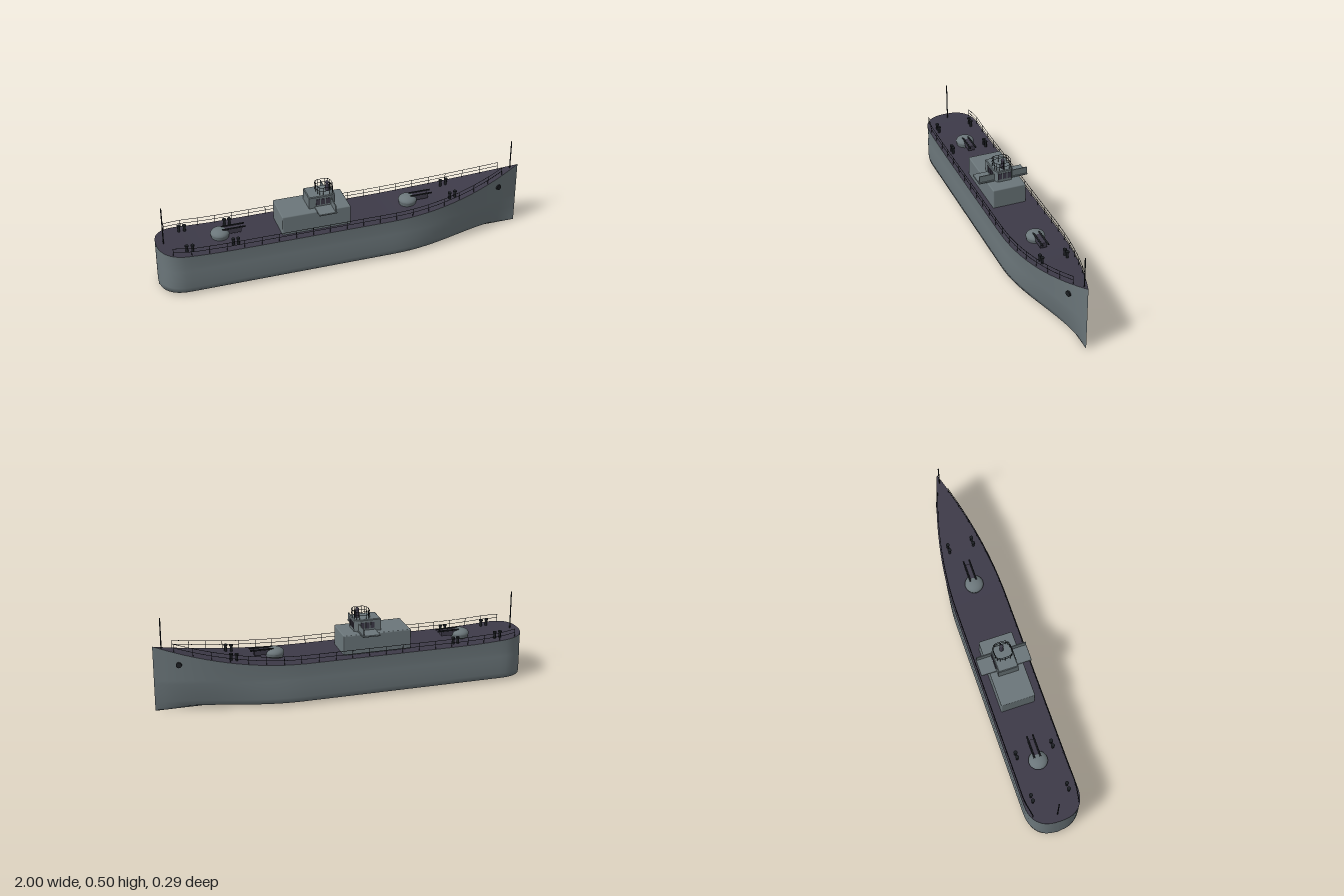
import * as THREE from 'three';
import { mergeGeometries } from 'three/addons/utils/BufferGeometryUtils.js';
import { RoundedBoxGeometry } from 'three/addons/geometries/RoundedBoxGeometry.js';

const V = (x, y, z) => new THREE.Vector3(x, y, z);
const mat = (name, color, side = THREE.FrontSide) => new THREE.MeshStandardMaterial({ name, color, side });
const HALF = 0.146;

// Height of the deck edge along the ship
function deckY(x) {
  if (x < -0.6) return 0.228 + 0.02 * ((-0.6 - x) / 0.4) ** 2;
  return x > 0.2 ? 0.228 + 0.126 * ((x - 0.2) / 0.8) ** 2 : 0.228;
}

// Half width: rounded stern, pointed bow that gets finer towards the keel (low = 0..1)
function halfWidth(x, low = 0) {
  if (x < -0.85) {
    const u = Math.min(1, (-0.85 - x) / 0.15);
    return HALF * Math.pow(Math.max(0, 1 - u ** 2.5), 0.4);
  }
  const u = Math.max(0, (x - 0.25) / 0.75);
  const top = 1 - u * u, bottom = 0.5 + 0.5 * Math.cos(Math.PI * u);
  return HALF * (top + (bottom - top) * low);
}

// Stations are packed tightly around the stern curve
const stations = [];
for (let i = 0; i <= 14; i++) stations.push(-0.85 - 0.15 * Math.cos((i / 14) * Math.PI / 2) ** 0.7);
for (let i = 1; i <= 36; i++) stations.push(-0.85 + 1.85 * i / 36);

// Skin a surface over rings of [y, z] points
function loft(ring) {
  const pos = [], index = [];
  const n = ring(0).length;
  stations.forEach((x, i) => {
    for (const [y, z] of ring(x)) pos.push(x, y, z);
    if (!i) return;
    for (let j = 0; j < n - 1; j++) {
      const a = (i - 1) * n + j, b = i * n + j;
      index.push(a, a + 1, b + 1, a, b + 1, b);
    }
  });
  const g = new THREE.BufferGeometry();
  g.setAttribute('position', new THREE.Float32BufferAttribute(pos, 3));
  g.setIndex(index);
  g.computeVertexNormals();
  return g;
}

function hullRing(x) {
  const d = deckY(x);
  // [height, width scale, fineness]
  const side = [[d, 1, 0], [0.165, 0.975, 0.25], [0.145, 1, 0.3], [0.09, 1, 0.55],
    [0.045, 0.995, 0.8], [0.017, 0.96, 0.95], [0.009, 0.5, 1]]
    .map(([y, s, f]) => [y, s * halfWidth(x, f)]);
  return [...side, [0, 0], ...side.map(([y, z]) => [y, -z]).reverse()];
}

// Thin round bar between two points
function bar(a, b, r, sides = 6) {
  const d = b.clone().sub(a);
  const g = new THREE.CylinderGeometry(r, r, d.length(), sides);
  g.applyQuaternion(new THREE.Quaternion().setFromUnitVectors(V(0, 1, 0), d.normalize()));
  return g.translate(...a.clone().add(b).multiplyScalar(0.5).toArray());
}

// Posts with two rails running over a list of foot points
function railing(feet, height, r, closed = false) {
  const parts = feet.map(p => bar(p, p.clone().setY(p.y + height), r));
  for (const f of [0.55, 1]) {
    const curve = new THREE.CatmullRomCurve3(feet.map(p => p.clone().setY(p.y + height * f)), closed);
    parts.push(new THREE.TubeGeometry(curve, feet.length * 3, r, 5, closed));
  }
  return mergeGeometries(parts);
}

export function createModel() {
  const ship = new THREE.Group();
  ship.name = 'warship';
  const grey = mat('hull grey', 0x6b767a);
  const dark = mat('deck slate', 0x3d3a48);
  const black = mat('fitting black', 0x1b1e22);

  const add = (name, geo, material, x = 0, y = 0, z = 0, parent = ship) => {
    const m = new THREE.Mesh(geo, material);
    m.name = name;
    m.position.set(x, y, z);
    parent.add(m);
    return m;
  };
  const box = (name, m, x0, x1, y0, y1, z0, z1, r = 0) => add(name,
    r ? new RoundedBoxGeometry(x1 - x0, y1 - y0, z1 - z0, 2, r) : new THREE.BoxGeometry(x1 - x0, y1 - y0, z1 - z0),
    m, (x0 + x1) / 2, (y0 + y1) / 2, (z0 + z1) / 2);

  // Hull and deck
  add('hull', loft(hullRing), grey);
  add('deck', loft(x => [-1, 0, 1].map(s => [deckY(x), s * halfWidth(x)])), dark);

  // Deckhouse
  box('deckhouse', grey, -0.355, 0.015, 0.22, 0.335, -0.092, 0.092, 0.006);

  // Bridge with cut front corners and bevelled roof edge
  const plan = new THREE.Shape([[-0.196, -0.05], [-0.085, -0.05], [-0.06, -0.036], [-0.06, 0.036],
    [-0.085, 0.05], [-0.196, 0.05]].map(p => new THREE.Vector2(...p)));
  const bridge = new THREE.ExtrudeGeometry(plan, {
    depth: 0.066, bevelEnabled: true, bevelThickness: 0.004, bevelSize: 0.004, bevelSegments: 1,
  });
  add('bridge', bridge.rotateX(-Math.PI / 2), grey, 0, 0.33, 0);
  for (const z of [-0.026, 0, 0.026]) {
    box('frontWindow', dark, -0.058, -0.0545, 0.35, 0.384, z - 0.0105, z + 0.0105);
  }
  for (const s of [-1, 1]) {
    for (const x of [-0.152, -0.125, -0.098]) {
      box('sideWindow', dark, x - 0.01, x + 0.01, 0.352, 0.384, s * 0.055 - 0.002, s * 0.055 + 0.002);
    }
    // Open bridge wings with a front screen
    const z0 = Math.min(s * 0.04, s * 0.138), z1 = Math.max(s * 0.04, s * 0.138);
    box('wingFloor', grey, -0.17, -0.073, 0.333, 0.342, z0, z1, 0.003);
    box('wingScreen', grey, -0.082, -0.077, 0.341, 0.378, s > 0 ? z0 : z0 + 0.003, s > 0 ? z1 - 0.003 : z1);
  }

  // Lookout platform on the bridge roof
  const ring = [];
  for (let i = 0; i < 14; i++) {
    const a = (i / 14) * Math.PI * 2, c = Math.cos(a), s = Math.sin(a);
    ring.push(V(-0.103 + 0.044 * Math.sign(c) * Math.abs(c) ** 0.6, 0.398,
      0.046 * Math.sign(s) * Math.abs(s) ** 0.6));
  }
  add('lookoutRailing', railing(ring, 0.044, 0.0014, true), black);
  add('directorPost', new THREE.CylinderGeometry(0.008, 0.011, 0.05, 16), dark, -0.085, 0.425, 0);
  add('directorHead', new THREE.SphereGeometry(0.01, 16, 10), dark, -0.085, 0.445, 0);
  add('sightPost', new THREE.CylinderGeometry(0.004, 0.004, 0.045, 10), black, -0.071, 0.42, 0);

  // Twin gun mounts, both pointing forward
  for (const x of [-0.665, 0.365]) {
    const mount = new THREE.Group();
    mount.name = 'gunMount';
    mount.position.set(x, deckY(x) - 0.003, 0);
    ship.add(mount);
    add('gunBase', new THREE.CylinderGeometry(0.05, 0.044, 0.024, 28), grey, 0, 0.012, 0, mount);
    add('gunDome', new THREE.SphereGeometry(0.05, 28, 10, 0, Math.PI * 2, 0, Math.PI / 2).scale(1, 0.56, 1),
      grey, 0, 0.024, 0, mount);
    add('gunCradle', new THREE.BoxGeometry(0.095, 0.028, 0.036), dark, 0.062, 0.034, 0, mount);
    for (const z of [-0.016, 0.016]) {
      add('gunBarrel', bar(V(0.01, 0.049, z), V(0.132, 0.049, z), 0.0045, 10), black, 0, 0, 0, mount);
    }
  }

  for (const s of [-1, 1]) {
    // Paired mooring bollards
    for (const [x, z] of [[-0.86, 0.097], [-0.83, 0.097], [-0.618, 0.097], [-0.592, 0.097], [0.58, 0.067], [0.61, 0.067]]) {
      add('bollard', new THREE.CylinderGeometry(0.007, 0.007, 0.034, 12), black, x, deckY(x) + 0.016, s * z);
      add('bollardCap', new THREE.CylinderGeometry(0.01, 0.01, 0.007, 12), black, x, deckY(x) + 0.034, s * z);
    }
    // Deck edge railing
    const feet = [];
    for (let i = 0; i <= 20; i++) {
      const x = -0.935 + 1.83 * i / 20;
      feet.push(V(x, deckY(x) - 0.002, s * (halfWidth(x) - 0.008)));
    }
    add('deckRailing', railing(feet, 0.045, 0.0014), black);
    // Hawse plug on the bow
    const hawse = add('hawse', new THREE.CylinderGeometry(0.015, 0.015, 0.014, 20).rotateX(Math.PI / 2),
      black, 0.875, 0.256, s * (halfWidth(0.875, 0.12) + 0.002));
    hawse.rotation.y = s * 0.33;
  }

  // Bow and stern poles
  add('sternPole', bar(V(-0.96, 0.24, 0), V(-0.96, 0.455, 0), 0.0032, 8), black);
  add('bowPole', bar(V(0.955, 0.33, 0), V(0.955, 0.503, 0), 0.0032, 8), black);
  return ship;
}
